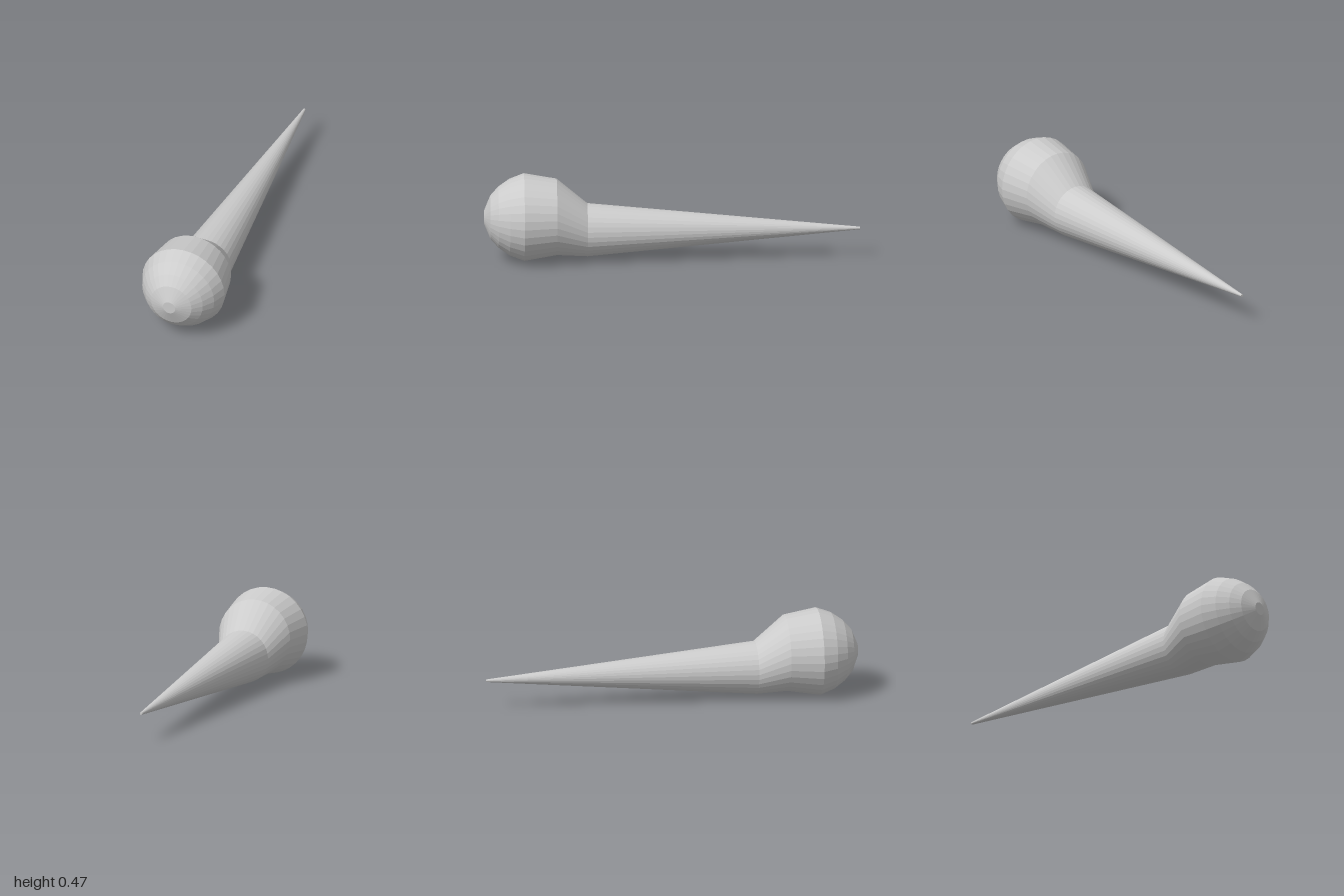
import * as THREE from 'three';

const SIDES = 32;

// Loft through circular rings [z, centre y, radius], listed from front to back
function loft(rings, capFront, capBack) {
  const positions = [];
  const index = [];
  for (const [z, y, r] of rings) {
    for (let j = 0; j < SIDES; j++) {
      const a = (j / SIDES) * Math.PI * 2;
      positions.push(r * Math.cos(a), y + r * Math.sin(a), z);
    }
  }
  const last = rings.length - 1;
  for (let i = 0; i < last; i++) {
    for (let j = 0; j < SIDES; j++) {
      const k = (j + 1) % SIDES;
      const a = i * SIDES + j, d = i * SIDES + k;
      const b = a + SIDES, c = d + SIDES;
      index.push(a, b, d, b, c, d);
    }
  }
  for (let j = 1; j < SIDES - 1; j++) {
    const e = last * SIDES;
    if (capFront) index.push(0, j, j + 1);
    if (capBack) index.push(e, e + j + 1, e + j);
  }
  const geometry = new THREE.BufferGeometry();
  geometry.setAttribute('position', new THREE.Float32BufferAttribute(positions, 3));
  geometry.setIndex(index);
  geometry.computeVertexNormals();
  return geometry;
}

export function createModel() {
  const group = new THREE.Group();
  const material = new THREE.MeshStandardMaterial({
    color: 0xcccccc, flatShading: true, side: THREE.DoubleSide,
  });
  const add = (name, geometry) => {
    const mesh = new THREE.Mesh(geometry, material);
    mesh.name = name;
    group.add(mesh);
  };

  // Domed head narrowing to an off-centre collar
  add('head', loft([
    [1.0, 0.236, 0.035],
    [0.967, 0.236, 0.115],
    [0.924, 0.236, 0.163],
    [0.864, 0.236, 0.205],
    [0.787, 0.236, 0.234],
    [0.613, 0.236, 0.204],
    [0.45, 0.163, 0.142],
  ], true, false));

  // Long tapering spike behind the collar
  add('spike', loft([
    [0.45, 0.163, 0.142],
    [-1.0, 0.163, 0.007],
  ], false, true));

  return group;
}
